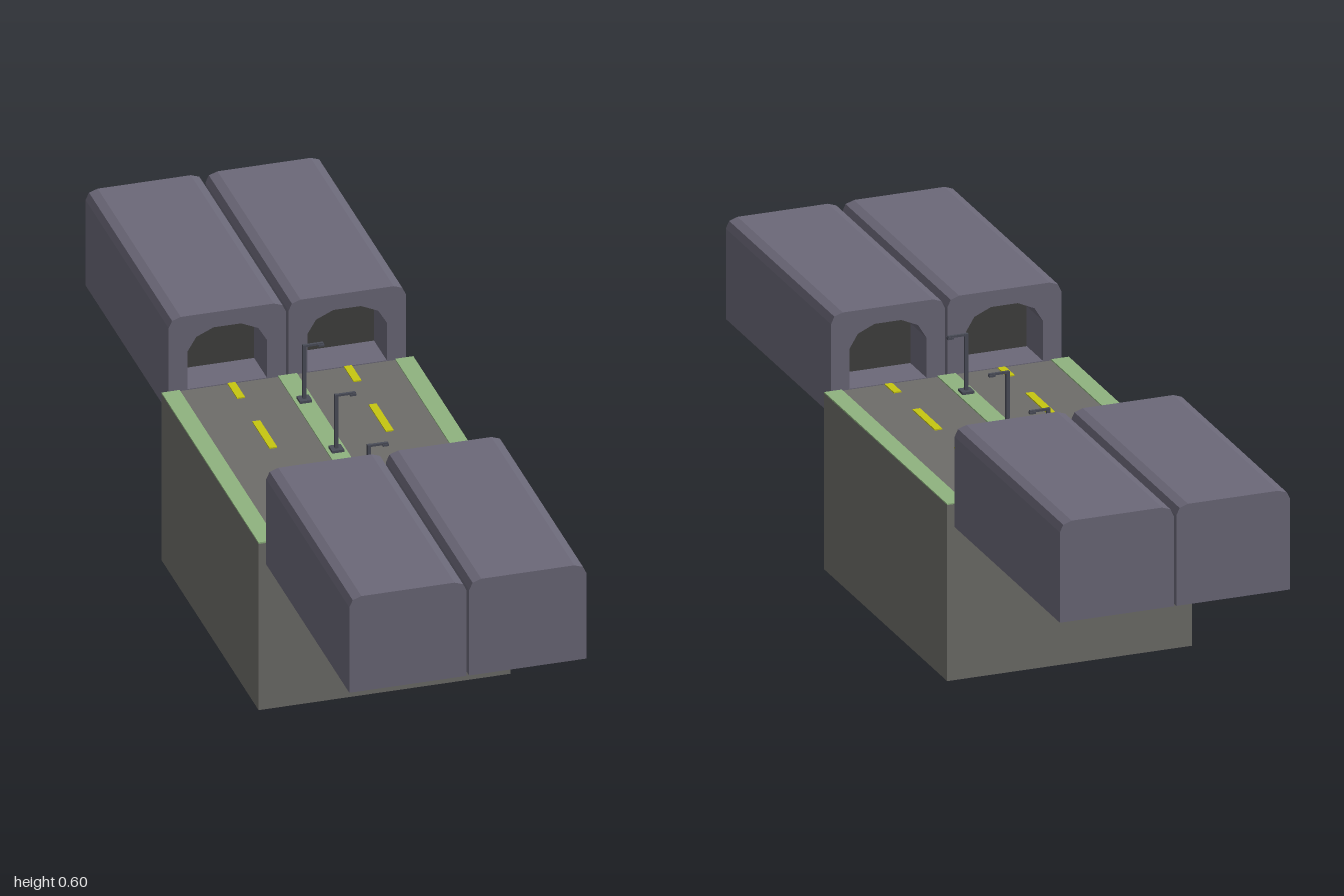
import * as THREE from 'three';

const mat = (color) => new THREE.MeshStandardMaterial({ color, flatShading: true });
const concrete = mat(0x6b6878), stone = mat(0x6e6d69), grass = mat(0x8fb37f);
const paint = mat(0xc6c610), metal = mat(0x4a4d58), dark = mat(0x40403e);

function add(parent, name, geometry, material, x = 0, y = 0, z = 0) {
  const mesh = new THREE.Mesh(geometry, material);
  mesh.name = name;
  mesh.position.set(x, y, z);
  parent.add(mesh);
  return mesh;
}

// Box given by its bottom centre
function block(parent, name, material, w, h, d, x, y, z) {
  return add(parent, name, new THREE.BoxGeometry(w, h, d), material, x, y + h / 2, z);
}

// Mirror a right-hand half profile into a closed outline
function outline(half) {
  const left = half.map(([x, y]) => [-x, y]).reverse();
  return [...half, ...left].map(([x, y]) => new THREE.Vector2(x, y));
}

const shell = outline([[0.136, 0.365], [0.136, 0.58], [0.128, 0.597], [0.108, 0.604]]);
const mouth = outline([[0.092, 0.42], [0.092, 0.515], [0.072, 0.548], [0.032, 0.566]]);
const extrude = (shape, depth) => new THREE.ExtrudeGeometry(shape, { depth, bevelEnabled: false });

// Tunnel tube with a recessed portal facing the road
function tunnel(x) {
  const g = new THREE.Group();
  g.name = 'tunnel';
  g.position.x = x;
  const start = 0.37, recess = 0.1;
  const portal = new THREE.Shape(shell);
  portal.holes.push(new THREE.Path(mouth));
  add(g, 'tunnelPortal', extrude(portal, recess), concrete, 0, 0, start);
  add(g, 'tunnelBody', extrude(new THREE.Shape(shell), 1 - start - recess), concrete, 0, 0, start + recess);
  add(g, 'tunnelDarkness', extrude(new THREE.Shape(mouth), 0.003), dark, 0, 0, start + recess - 0.003);
  return g;
}

// Street lamp with one arm towards +x
function lamp(z) {
  const g = new THREE.Group();
  g.name = 'streetLamp';
  g.position.set(0, 0.422, z);
  block(g, 'lampBase', metal, 0.028, 0.006, 0.028, 0, 0, 0);
  block(g, 'lampPost', metal, 0.008, 0.14, 0.008, 0, 0, 0);
  block(g, 'lampArm', metal, 0.044, 0.005, 0.006, 0.022, 0.135, 0);
  block(g, 'lampHead', metal, 0.014, 0.005, 0.01, 0.038, 0.132, 0);
  return g;
}

export function createModel() {
  const root = new THREE.Group();
  root.name = 'tunnelRoad';

  // Road deck on its solid block
  block(root, 'roadBlock', stone, 0.584, 0.419, 0.736, 0, 0, 0);

  // Grass verges and median
  for (const s of [-1, 1]) block(root, 'grassVerge', grass, 0.042, 0.004, 0.736, s * 0.271, 0.418, 0);
  block(root, 'grassMedian', grass, 0.044, 0.004, 0.736, 0, 0.418, 0);

  // Lane dashes, as z ranges
  const dashes = [[-0.368, -0.295], [-0.18, -0.05], [0.065, 0.198], [0.31, 0.365]];
  for (const x of [-0.13, 0.14])
    for (const [a, b] of dashes)
      block(root, 'laneDash', paint, 0.018, 0.004, b - a, x, 0.418, (a + b) / 2);

  for (const z of [-0.24, 0.003, 0.25]) root.add(lamp(z));

  // Twin tunnels at both ends
  for (const [name, turn] of [['frontTunnels', 0], ['backTunnels', Math.PI]]) {
    const pair = new THREE.Group();
    pair.name = name;
    pair.add(tunnel(-0.139), tunnel(0.139));
    pair.rotation.y = turn;
    root.add(pair);
  }
  return root;
}
